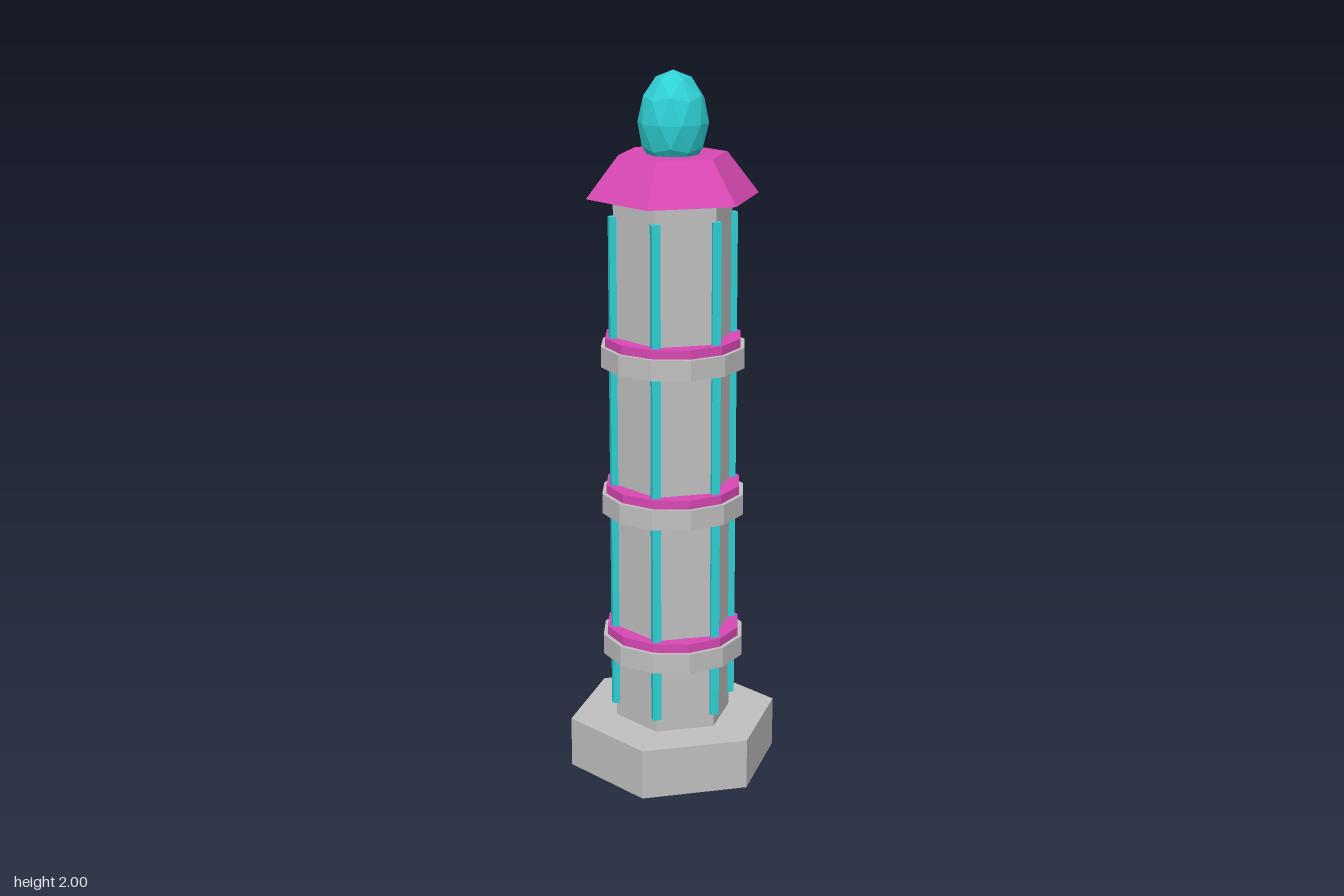
import * as THREE from 'three';

export function createModel() {
  const model = new THREE.Group();
  model.name = 'tower';

  const flat = (name, color) => {
    const m = new THREE.MeshStandardMaterial({ color, flatShading: true });
    m.name = name;
    return m;
  };
  const stone = flat('grey stone', 0xc0c0c0);
  const trim = flat('magenta trim', 0xd848b4);
  const glow = flat('cyan glow', 0x2ed0d4);

  const add = (name, geometry, material, x = 0, y = 0, z = 0) => {
    const mesh = new THREE.Mesh(geometry, material);
    mesh.name = name;
    mesh.position.set(x, y, z);
    model.add(mesh);
  };

  // Faceted prism from y0 to y1 with a corner on the x axis
  const prism = (name, material, sides, rBottom, rTop, y0, y1) => {
    const g = new THREE.CylinderGeometry(rTop, rBottom, y1 - y0, sides, 1, false, Math.PI / 2);
    add(name, g, material, 0, (y0 + y1) / 2, 0);
  };

  // Hexagonal base, shaft and flared roof
  prism('base', stone, 6, 0.303, 0.303, 0, 0.145);
  prism('shaft', stone, 6, 0.168, 0.168, 0.145, 1.66);
  prism('roof', trim, 6, 0.242, 0.152, 1.66, 1.776);

  // Balcony rings, each with a thin coloured floor
  [0.34, 0.765, 1.19].forEach((y, i) => {
    prism(`ring${i + 1}`, stone, 12, 0.205, 0.205, y, y + 0.058);
    prism(`ringFloor${i + 1}`, trim, 12, 0.193, 0.193, y + 0.058, y + 0.083);
  });

  // Light strips along the six corners of the shaft
  const strip = new THREE.BoxGeometry(0.024, 1.425, 0.024);
  for (let i = 0; i < 6; i++) {
    const a = (i * Math.PI) / 3;
    add(`lightStrip${i + 1}`, strip, glow, 0.168 * Math.cos(a), 0.8975, 0.168 * Math.sin(a));
  }

  // Egg-shaped finial, turned so one corner points straight up
  const egg = new THREE.IcosahedronGeometry(1, 1);
  egg.rotateZ(-Math.atan(2 / (1 + Math.sqrt(5))));
  egg.scale(0.097, 0.14, 0.097);
  add('finial', egg, glow, 0, 1.86, 0);

  return model;
}
